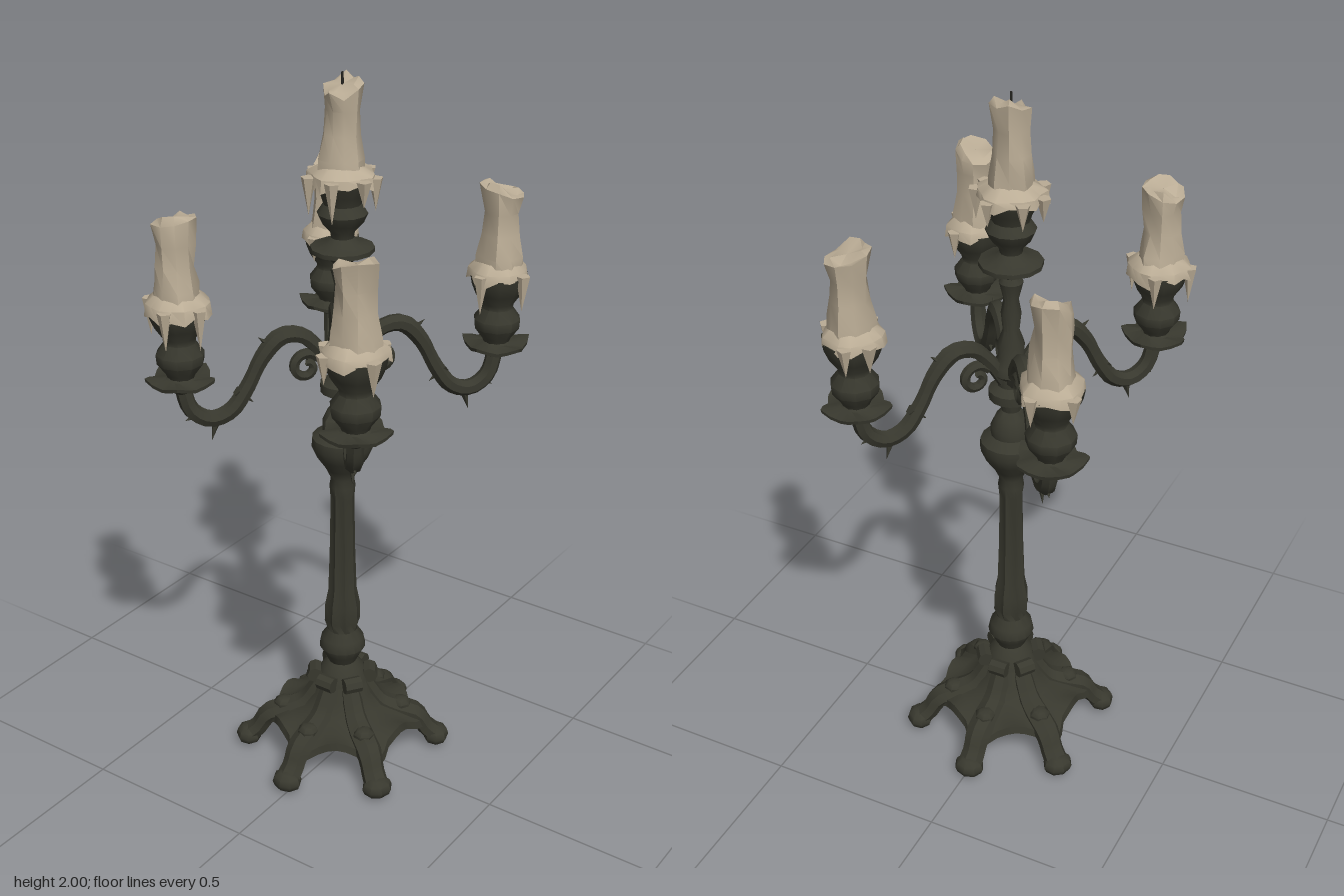
import * as THREE from 'three';
import { toCreasedNormals } from 'three/addons/utils/BufferGeometryUtils.js';

const iron = new THREE.MeshStandardMaterial({ color: 0x38382e, side: THREE.DoubleSide });
iron.name = 'dark iron';
const wax = new THREE.MeshStandardMaterial({ color: 0xbaac95, side: THREE.DoubleSide });
wax.name = 'old wax';
const soot = new THREE.MeshStandardMaterial({ color: 0x24231f });
soot.name = 'burnt wick';

// Seeded random numbers
function seeded(seed) {
  let s = seed * 7919 + 17;
  return () => (s = (s * 16807) % 2147483647) / 2147483647;
}

function part(parent, name, geometry, material, x = 0, y = 0, z = 0) {
  const mesh = new THREE.Mesh(toCreasedNormals(geometry, 0.75), material);
  mesh.name = name;
  mesh.position.set(x, y, z);
  parent.add(mesh);
  return mesh;
}

// Lathe whose points may be moved by rule(r, y, angle, column, row) -> [r, y]
function turned(profile, sides, rule) {
  const g = new THREE.LatheGeometry(profile.map(p => new THREE.Vector2(...p)), sides);
  if (rule) {
    const pos = g.attributes.position, n = profile.length;
    for (let i = 0; i < pos.count; i++) {
      const col = Math.floor(i / n) % sides, row = i % n, a = col / sides * Math.PI * 2;
      const [r, y] = rule(profile[row][0], profile[row][1], a, col, row);
      pos.setXYZ(i, r * Math.sin(a), y, r * Math.cos(a));
    }
  }
  return g;
}

// Tube in the z-y plane whose thickness follows a list of radii
function taperedTube(points, radii, steps, sides = 7) {
  const path = new THREE.CatmullRomCurve3(points.map(([z, y]) => new THREE.Vector3(0, y, z)));
  const g = new THREE.TubeGeometry(path, steps, 1, sides);
  const pos = g.attributes.position, v = new THREE.Vector3();
  for (let i = 0; i < pos.count; i++) {
    const t = Math.floor(i / (sides + 1)) / steps, f = t * (radii.length - 1);
    const k = Math.min(Math.floor(f), radii.length - 2);
    const r = THREE.MathUtils.lerp(radii[k], radii[k + 1], f - k);
    const c = path.getPointAt(t);
    v.fromBufferAttribute(pos, i).sub(c).multiplyScalar(r).add(c);
    pos.setXYZ(i, v.x, v.y, v.z);
  }
  return g;
}

// Uneven candle on a thin melted collar with a few hanging drips, standing on y = 0
function addCandle(parent, seed, height, radius, collar, drips) {
  const rnd = seeded(seed), candle = new THREE.Group();
  candle.name = 'candle';
  const sides = 9, wob = Array.from({ length: sides * 7 }, () => rnd() - 0.5);
  const lean = rnd() * 6.28;
  const body = [[radius * 1.12, -0.01], [radius * 1.08, 0.05], [radius * 0.9, height * 0.45],
    [radius * 0.87, height * 0.7], [radius * 0.98, height * 0.92], [radius * 0.7, height * 0.97],
    [0.001, height * 0.95]];
  part(candle, 'candleStick', turned(body, sides, (r, y, a, c, j) => {
    if (j === 6) return [r, y];
    const w = wob[c * 7 + j];
    return [r * (1 + w * 0.28), y + (j > 3 ? w * 0.025 + Math.cos(a - lean) * 0.016 : 0)];
  }), wax);
  // Collar with a ragged lower edge
  const n = 16, drop = Array.from({ length: n }, () => rnd());
  part(candle, 'meltedCollar', turned(
    [[collar * 0.86, 0], [collar * 0.98, -0.002], [collar * 0.93, 0.014], [radius * 0.95, 0.036]],
    n, (r, y, a, c, j) => [r * (0.9 + drop[c] * 0.2), y - (j < 2 ? drop[c] ** 2 * 0.025 : 0)]), wax);
  for (let i = 0; i < drips; i++) {
    const a = (i + rnd() * 0.7) / drips * Math.PI * 2, len = 0.065 + rnd() * 0.045;
    const drip = part(candle, 'waxDrip', new THREE.ConeGeometry(0.02, len, 5), wax,
      Math.sin(a) * collar * 0.98, -len / 2 + 0.01, Math.cos(a) * collar * 0.98);
    drip.rotation.set(Math.PI, a, 0);
  }
  parent.add(candle);
  return candle;
}

// One foot of the base, pointing along +z
function addLeg(parent, angle) {
  const leg = new THREE.Group();
  leg.name = 'leg';
  leg.rotation.y = angle;
  part(leg, 'legScroll', taperedTube(
    [[0.05, 0.25], [0.075, 0.2], [0.11, 0.15], [0.17, 0.122], [0.215, 0.105], [0.245, 0.06], [0.275, 0.034]],
    [0.02, 0.024, 0.026, 0.03, 0.03, 0.026, 0.028], 16), iron).scale.x = 1.3;
  const paw = part(leg, 'paw', new THREE.SphereGeometry(0.042, 8, 6), iron, 0, 0.032, 0.275);
  paw.scale.set(1.05, 0.75, 0.9);
  part(leg, 'kneeKnob', new THREE.SphereGeometry(0.032, 7, 5), iron, 0, 0.14, 0.17).scale.y = 0.65;
  const curl = part(leg, 'topCurl', new THREE.CylinderGeometry(0.023, 0.023, 0.05, 8), iron, 0, 0.25, 0.078);
  curl.rotation.z = Math.PI / 2;
  parent.add(leg);
}

// One branch with its cup and candle, pointing along +z
function addArm(parent, angle, reach, seed) {
  const arm = new THREE.Group();
  arm.name = 'arm';
  arm.rotation.y = angle;
  part(arm, 'branch', taperedTube(
    [[0.02, 1.2], [0.06, 1.265], [0.11, 1.315], [0.165, 1.32], [0.215, 1.27], [0.26, 1.185],
      [0.305, 1.125], [0.36, 1.108], [0.41, 1.14], [reach, 1.22]],
    [0.02, 0.02, 0.025, 0.02, 0.023, 0.023, 0.022], 30), iron);
  // Curl below the branch
  const spiral = [];
  for (let i = 0; i <= 10; i++) {
    const t = 2.6 - i * 0.72, r = 0.042 - i * 0.0028;
    spiral.push([0.1 + Math.cos(t) * r, 1.225 + Math.sin(t) * r]);
  }
  part(arm, 'curl', taperedTube(spiral, [0.014, 0.014, 0.011], 24, 6), iron);
  // Thorny leaf tips: z, y, length, tilt
  for (const [z, y, len, tilt] of [[0.35, 1.08, 0.075, 2.9], [0.205, 1.305, 0.06, 0.9],
    [0.265, 1.16, 0.06, -2.3], [0.405, 1.12, 0.05, 2.0]]) {
    const tip = part(arm, 'leafTip', new THREE.ConeGeometry(0.016, len, 5), iron, 0, y, z);
    tip.rotation.x = tilt;
  }
  // Drip dish with upturned petals, then the cup
  const holder = new THREE.Group();
  holder.name = 'candleHolder';
  holder.position.z = reach;
  part(holder, 'petalDish', turned(
    [[0.012, 1.19], [0.045, 1.212], [0.088, 1.226], [0.09, 1.236], [0.04, 1.236], [0.02, 1.25]], 20,
    (r, y, a) => [r * (r > 0.05 ? 0.95 + 0.11 * Math.cos(5 * a) : 1),
      y + (r > 0.05 ? 0.008 * Math.cos(5 * a) : 0)]), iron);
  part(holder, 'cup', turned(
    [[0.03, 1.225], [0.04, 1.25], [0.062, 1.28], [0.064, 1.305], [0.042, 1.335], [0.044, 1.35],
      [0.064, 1.38], [0.076, 1.41], [0.08, 1.432], [0.001, 1.435]], 10), iron);
  addCandle(holder, seed, 0.24, 0.056, 0.084, 4).position.y = 1.434;
  arm.add(holder);
  parent.add(arm);
}

export function createModel() {
  const model = new THREE.Group();
  model.name = 'candelabra';
  const stand = new THREE.Group();
  stand.name = 'stand';
  stand.position.set(-0.008, 0, -0.007);
  model.add(stand);

  // Hollow base, drawn out towards the feet and arched between them
  part(stand, 'baseSkirt', turned(
    [[0.205, 0.095], [0.2, 0.118], [0.155, 0.135], [0.115, 0.152], [0.085, 0.195], [0.066, 0.25], [0.045, 0.28]], 48,
    (r, y, a, c, j) => {
      const k = Math.cos(6 * a), tip = Math.max(0, k) ** 2;
      return [r * (1 + (j < 2 ? 0.2 : 0.06) * tip), y - (j < 2 ? 0.022 * k : 0)];
    }), iron);
  const side = 0.97;
  for (const a of [0, side, Math.PI - side, Math.PI, Math.PI + side, -side]) addLeg(stand, a);

  // Column, with flutes along the shaft
  part(stand, 'column', turned(
    [[0.075, 0.235], [0.06, 0.275], [0.04, 0.295], [0.052, 0.32], [0.066, 0.345], [0.06, 0.375], [0.042, 0.4],
      [0.048, 0.43], [0.047, 0.48], [0.038, 0.53], [0.034, 0.65], [0.031, 0.82], [0.036, 0.86],
      [0.032, 0.885], [0.046, 0.915], [0.07, 0.95], [0.085, 0.985], [0.083, 1.01], [0.055, 1.03], [0.055, 1.055],
      [0.042, 1.085], [0.026, 1.105], [0.03, 1.13], [0.06, 1.145], [0.06, 1.17], [0.036, 1.185],
      [0.036, 1.21], [0.052, 1.225], [0.048, 1.25], [0.034, 1.27], [0.036, 1.31], [0.022, 1.35],
      [0.027, 1.4], [0.02, 1.44], [0.032, 1.49], [0.02, 1.51]], 16,
    (r, y, a, c) => [r * (y > 0.42 && y < 0.84 ? 0.98 + (c % 2 ? -0.09 : 0.09) : 1), y]), iron);

  // Top dish, cup and candle
  part(stand, 'topDish', turned(
    [[0.018, 1.5], [0.045, 1.525], [0.084, 1.538], [0.084, 1.55], [0.045, 1.56], [0.03, 1.575]], 12), iron);
  part(stand, 'topCup', turned(
    [[0.028, 1.565], [0.032, 1.59], [0.055, 1.615], [0.066, 1.64], [0.05, 1.665], [0.058, 1.69],
      [0.074, 1.715], [0.077, 1.728], [0.001, 1.732]], 12), iron);
  const topCandle = addCandle(stand, 5, 0.25, 0.052, 0.092, 7);
  topCandle.position.y = 1.732;
  part(topCandle, 'wick', new THREE.CylinderGeometry(0.003, 0.004, 0.04, 5), soot, 0, 0.248, 0);

  // Four branches
  const reach = 0.433, spread = 0.68;
  [spread, Math.PI - spread, Math.PI + spread, -spread].forEach((a, i) => addArm(stand, a, reach, i + 11));
  return model;
}
